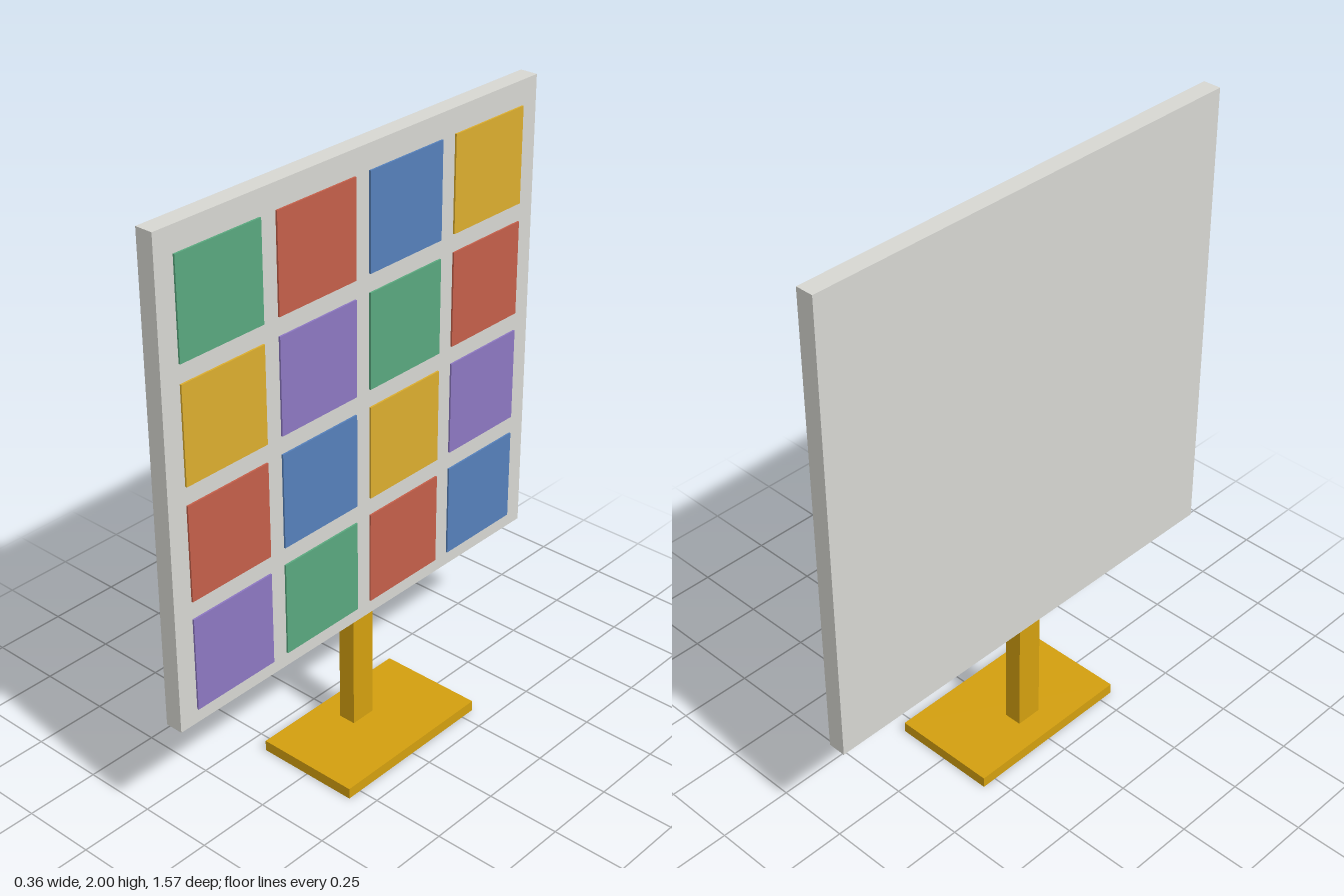
import * as THREE from 'three';

const COLORS = {
  G: 0x5aa97f, R: 0xc55f4a, B: 0x5681bb, Y: 0xdcae2f, P: 0x8d78c2,
  board: 0xd8d8d3, stand: 0xd4a00f,
};
const materials = {};
for (const key in COLORS) materials[key] = new THREE.MeshStandardMaterial({ color: COLORS[key] });

// Box given by its size and centre
function box(name, color, size, centre) {
  const mesh = new THREE.Mesh(new THREE.BoxGeometry(...size), materials[color]);
  mesh.name = name;
  mesh.position.set(...centre);
  return mesh;
}

export function createModel() {
  const model = new THREE.Group();
  model.name = 'tileBoardOnStand';

  // Stand: flat foot and square post under the board
  model.add(box('base', 'stand', [0.36, 0.037, 0.6], [0, 0.0185, 0]));
  model.add(box('post', 'stand', [0.06, 0.393, 0.09], [-0.061, 0.2335, 0]));

  // Upright panel
  model.add(box('board', 'board', [0.06, 1.57, 1.574], [-0.061, 1.215, 0]));

  // Coloured tiles on the +x face, rows from the top, columns from +z to -z
  const tiles = new THREE.Group();
  tiles.name = 'tiles';
  ['GRBY', 'YPGR', 'RBYP', 'PGRB'].forEach((row, r) => {
    [...row].forEach((color, c) => {
      tiles.add(box(`tile${r + 1}${c + 1}`, color, [0.012, 0.315, 0.315],
        [-0.031, 1.762 - r * 0.3755, 0.5625 - c * 0.375]));
    });
  });
  model.add(tiles);
  return model;
}
